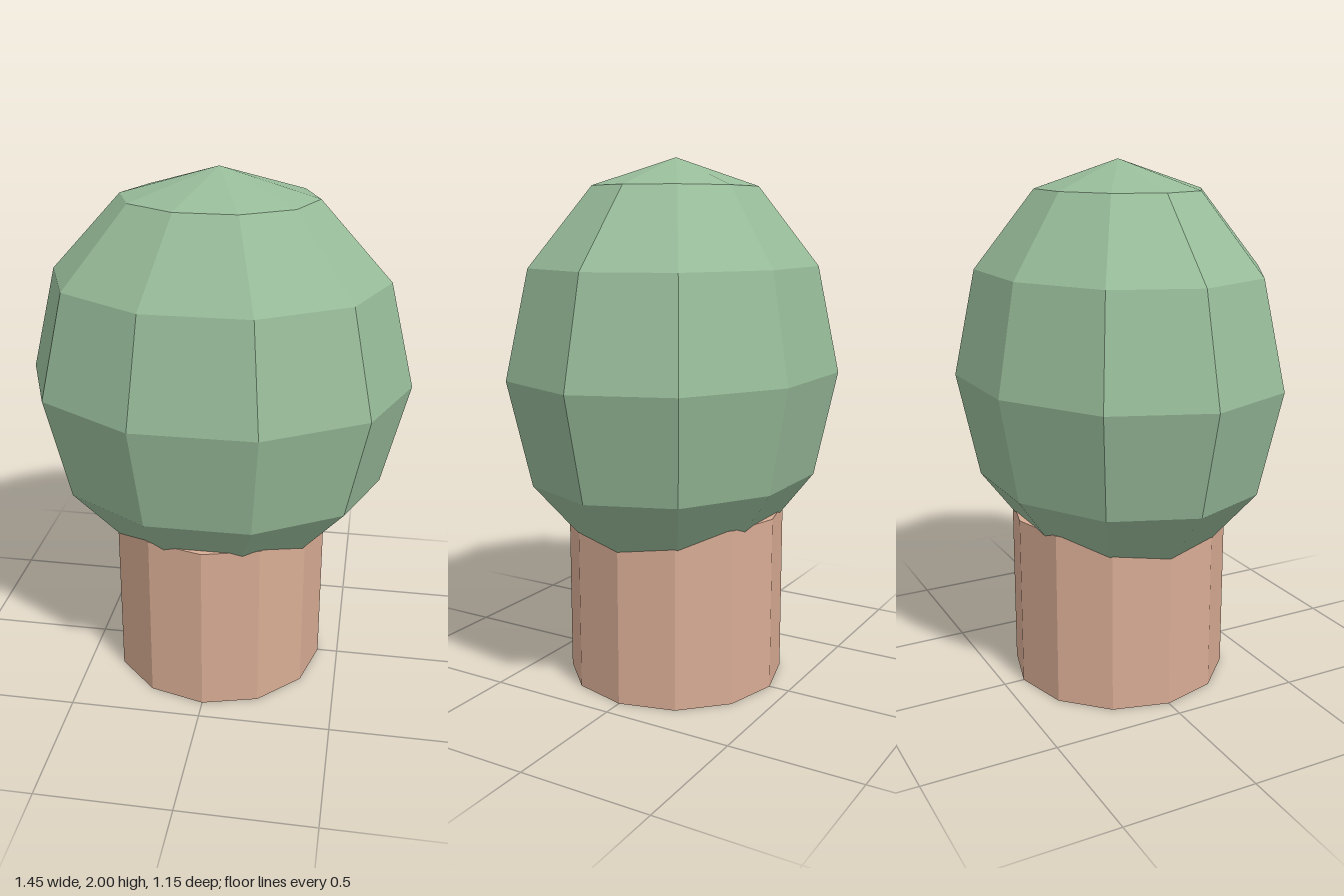
import * as THREE from 'three';

export function createModel() {
  const model = new THREE.Group();
  model.name = 'tree';

  const leafGreen = new THREE.MeshStandardMaterial({ color: 0x97bb99, flatShading: true });
  leafGreen.name = 'leaf green';
  const barkBrown = new THREE.MeshStandardMaterial({ color: 0xd8ac94, flatShading: true });
  barkBrown.name = 'bark brown';

  // Stout twelve-sided trunk
  const trunkHeight = 0.67;
  const trunk = new THREE.Mesh(new THREE.CylinderGeometry(0.42, 0.42, trunkHeight, 12), barkBrown);
  trunk.name = 'trunk';
  trunk.position.y = trunkHeight / 2;

  // Faceted egg-shaped crown, narrower front to back
  const crownGeometry = new THREE.SphereGeometry(1, 10, 6);
  crownGeometry.scale(0.725, 0.79, 0.605);
  const crown = new THREE.Mesh(crownGeometry, leafGreen);
  crown.name = 'crown';
  crown.position.y = 1.21;

  model.add(trunk, crown);
  return model;
}
